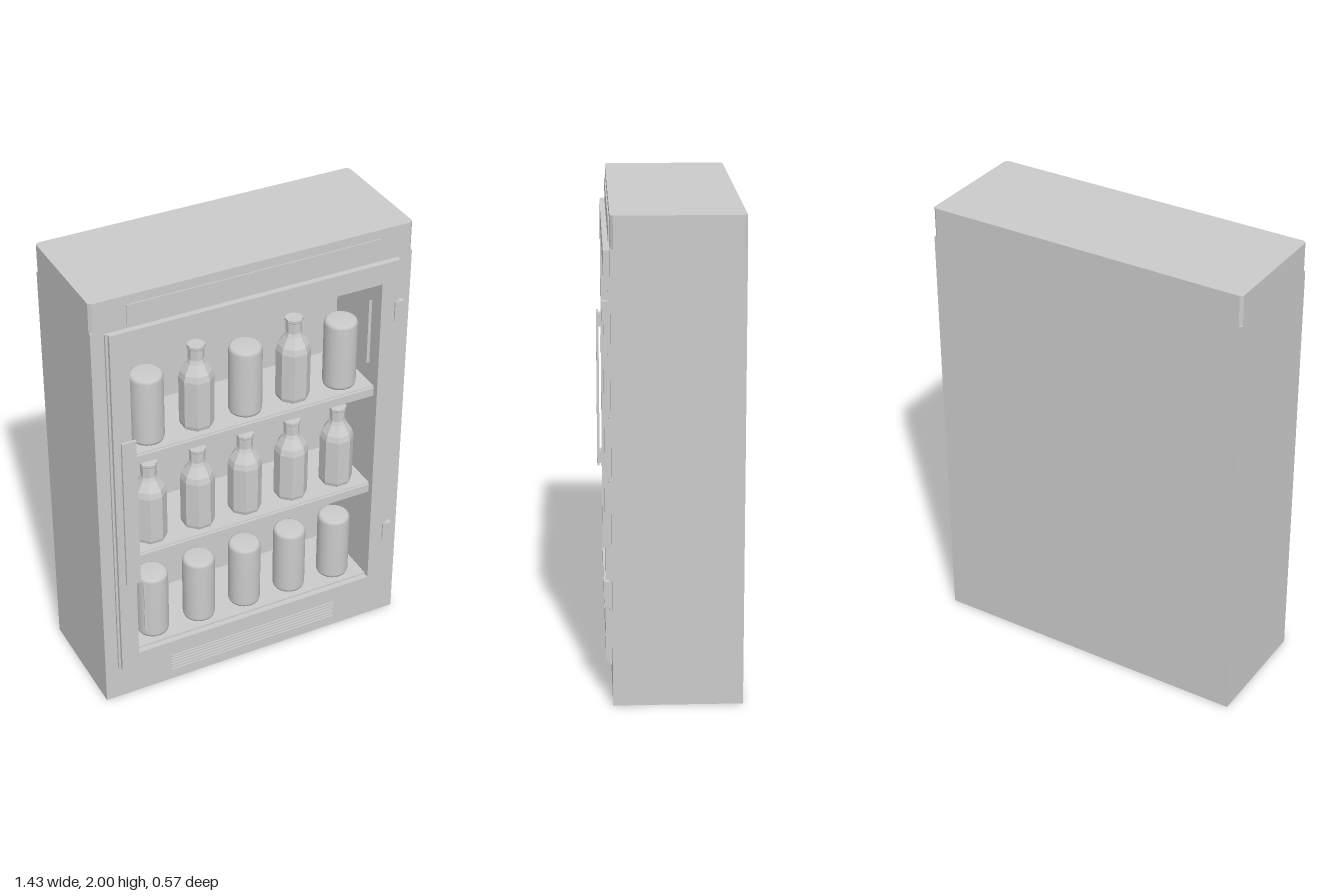
import * as THREE from 'three';

const mat = new THREE.MeshStandardMaterial({ color: 0xcccccc, side: THREE.DoubleSide });
const flatMat = new THREE.MeshStandardMaterial({ color: 0xcccccc, flatShading: true });

export function createModel() {
  const root = new THREE.Group();
  const add = (name, geo, m = mat) => {
    const mesh = new THREE.Mesh(geo, m);
    mesh.name = name;
    root.add(mesh);
    return mesh;
  };
  // box given by its min and max corners
  const box = (name, x0, x1, y0, y1, z0, z1) =>
    add(name, new THREE.BoxGeometry(x1 - x0, y1 - y0, z1 - z0)
      .translate((x0 + x1) / 2, (y0 + y1) / 2, (z0 + z1) / 2));
  const rect = (Type, x0, x1, y0, y1) => new Type([
    [x0, y0], [x1, y0], [x1, y1], [x0, y1]].map(p => new THREE.Vector2(...p)));
  // rectangular plate with the display opening cut through
  const frame = (name, x0, x1, y0, y1, z0, z1) => {
    const s = rect(THREE.Shape, x0, x1, y0, y1);
    s.holes.push(rect(THREE.Path, -0.565, 0.565, 0.235, 1.76));
    return add(name, new THREE.ExtrudeGeometry(s, { depth: z1 - z0, bevelEnabled: false }).translate(0, 0, z0));
  };

  // Cabinet: hollow front, solid back, chamfered top cap
  const W = 0.713, BACK = -0.287, FRONT = 0.24, INNER = -0.09;
  frame('cabinetShell', -W, W, 0, 1.87, INNER, FRONT);
  box('cabinetBack', -W, W, 0, 1.87, BACK, INNER);
  const c = 0.012;
  const capShape = new THREE.Shape([
    [-W + c, -FRONT], [W - c, -FRONT], [W, -FRONT + c], [W, -BACK - c],
    [W - c, -BACK], [-W + c, -BACK], [-W, -BACK - c], [-W, -FRONT + c],
  ].map(p => new THREE.Vector2(...p)));
  add('topCap', new THREE.ExtrudeGeometry(capShape, { depth: 0.13, bevelEnabled: false })
    .rotateX(-Math.PI / 2).translate(0, 1.87, 0));
  box('headerPanel', -0.56, 0.56, 1.87, 1.96, FRONT - 0.01, 0.245);

  // Vent slats under the door
  for (let i = 0; i < 6; i++) {
    const y = 0.05 + i * 0.0155;
    box('ventSlat', -0.405, 0.405, y, y + 0.006, FRONT - 0.01, 0.246);
  }

  // Door
  frame('doorGasket', -0.655, 0.65, 0.165, 1.855, FRONT, 0.25);
  frame('doorFrame', -0.645, 0.645, 0.165, 1.855, 0.25, 0.266);
  for (const y of [0.425, 1.57]) {
    box('hinge', 0.645, 0.669, y, y + 0.09, 0.25, 0.272);
    box('hingeLeaf', 0.628, 0.66, y, y + 0.09, 0.26, 0.272);
  }
  box('handleGrip', -0.618, -0.555, 0.635, 1.355, 0.276, 0.287);
  for (const y of [0.645, 1.285]) box('handleMount', -0.61, -0.563, y, y + 0.06, 0.262, 0.277);
  box('glassStripUpper', 0.512, 0.526, 1.39, 1.69, 0.252, 0.256);
  box('glassStripLower', -0.529, -0.519, 0.33, 0.58, 0.252, 0.256);

  // Shelves with front rails
  for (const y of [1.25, 0.745]) {
    box('shelf', -0.565, 0.565, y - 0.012, y, INNER, 0.235);
    box('shelfRail', -0.56, 0.56, y - 0.042, y - 0.004, 0.232, 0.247);
  }
  box('floorShelf', -0.565, 0.565, 0.228, 0.242, INNER, 0.24);

  // Drinks
  const pts = list => list.map(p => new THREE.Vector2(...p));
  const canGeo = new THREE.LatheGeometry(pts([
    [0, 0], [0.058, 0], [0.067, 0.005], [0.071, 0.018], [0.071, 0.298],
    [0.067, 0.311], [0.058, 0.317], [0, 0.317]]), 24);
  const bottleGeo = new THREE.LatheGeometry(pts([
    [0, 0], [0.06, 0], [0.069, 0.007], [0.073, 0.022], [0.073, 0.235], [0.066, 0.262],
    [0.04, 0.305], [0.034, 0.322], [0.034, 0.37], [0.038, 0.374], [0.038, 0.385], [0, 0.385]]),
    8, Math.PI / 8);
  const rows = [[0.242, 'ccccc'], [0.747, 'bbbbb'], [1.252, 'cbcbc']];
  for (const [y, kinds] of rows) {
    [...kinds].forEach((k, i) => {
      const d = k === 'c' ? add('can', canGeo) : add('bottle', bottleGeo, flatMat);
      d.position.set((i - 2) * 0.2225, y, 0.15);
    });
  }
  return root;
}
